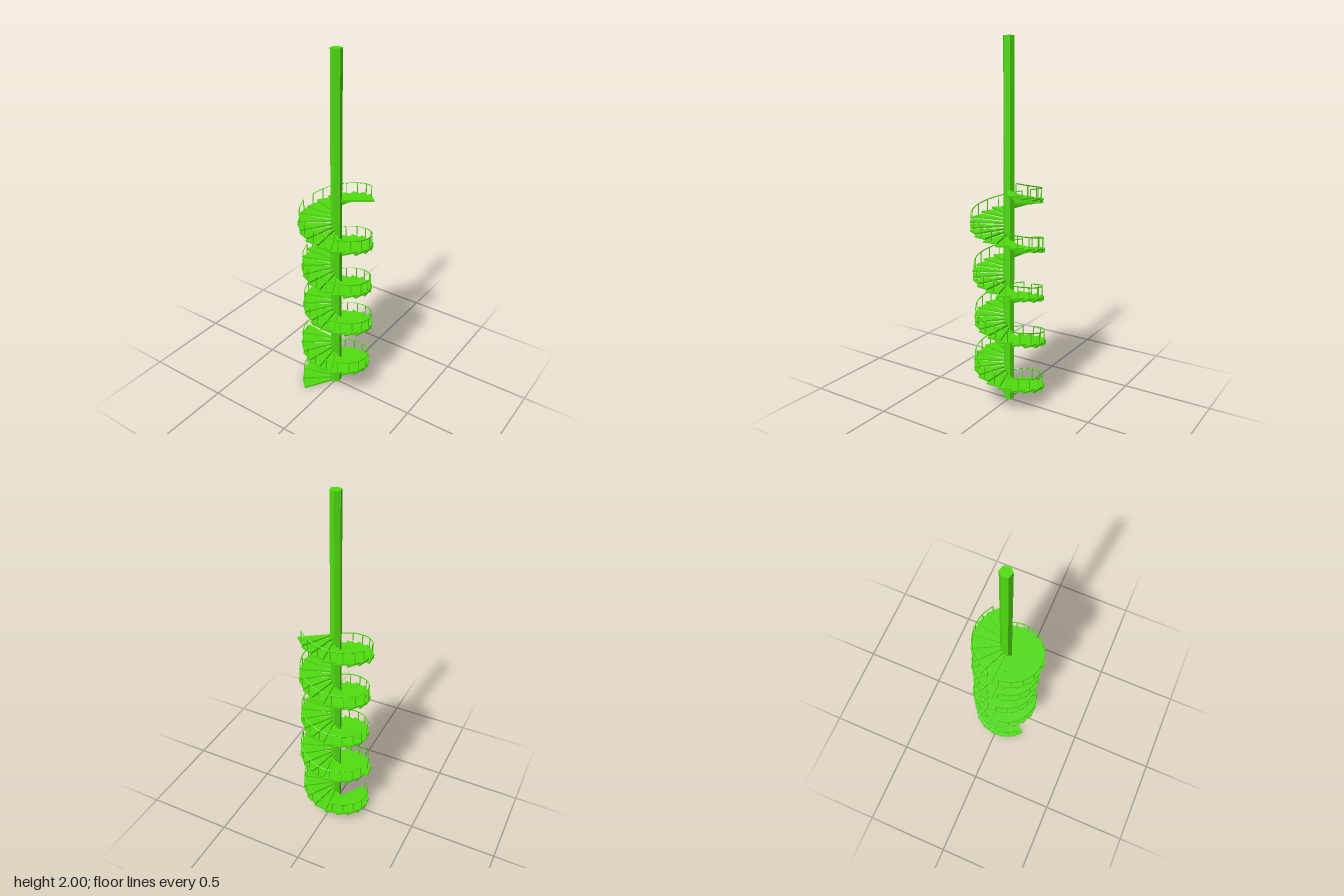
import * as THREE from 'three';

const DEG = Math.PI / 180;
const STEP = 20;            // degrees per tread
const START = 122;          // angle of the first tread, measured from +x towards +z
const PITCH = 0.272;        // rise per full turn
const RAIL_HEIGHT = 0.062;
const TREAD_THICKNESS = 0.01;

// Flights, stacked with slightly different centres: tread count, centre, radius, drop
const flights = [
  { count: 21, x: 0.0, z: 0.0, r: 0.2, drop: 0 },
  { count: 18, x: 0.008, z: -0.012, r: 0.2, drop: 0 },
  { count: 18, x: 0.008, z: 0.0, r: 0.196, drop: 0.018 },
  { count: 18, x: 0.006, z: 0.008, r: 0.203, drop: 0.018 },
  { count: 7, x: 0.012, z: 0.01, r: 0.197, drop: 0.018 },
];

const green = new THREE.MeshStandardMaterial({ color: 0x50dd10, flatShading: true });

function add(parent, name, geometry) {
  const mesh = new THREE.Mesh(geometry, green);
  mesh.name = name;
  parent.add(mesh);
  return mesh;
}

// Flat wedge with a straight outer edge, its top at y = 0
function treadGeometry(radius, sweep) {
  const shape = new THREE.Shape();
  const corner = (r, deg) => [r * Math.cos(deg * DEG), r * Math.sin(deg * DEG)];
  shape.moveTo(...corner(0.012, 0));
  shape.lineTo(...corner(radius, 0));
  shape.lineTo(...corner(radius, sweep));
  shape.lineTo(...corner(0.012, sweep));
  shape.closePath();
  const geometry = new THREE.ExtrudeGeometry(shape, { depth: TREAD_THICKNESS, bevelEnabled: false });
  return geometry.rotateX(Math.PI / 2);
}

export function createModel() {
  const model = new THREE.Group();
  model.name = 'spiralStaircase';

  // Six-sided centre pole
  const pole = add(model, 'centrePole', new THREE.CylinderGeometry(0.031, 0.031, 1.99, 6));
  pole.position.set(0.003, 1.005, 0);
  pole.rotation.y = 0.2;

  const heightAt = (angle) => ((angle - START) / 360) * PITCH + TREAD_THICKNESS;
  const postGeometry = new THREE.BoxGeometry(0.004, RAIL_HEIGHT, 0.004);
  let angle = START;

  flights.forEach((flight, f) => {
    const group = new THREE.Group();
    group.name = 'flight' + (f + 1);
    group.position.set(flight.x, -flight.drop, flight.z);
    model.add(group);

    const tread = treadGeometry(flight.r, STEP + 3);
    const railRadius = flight.r - 0.009;
    const railPoints = [];

    for (let i = 0; i < flight.count; i++, angle += STEP) {
      const y = heightAt(angle);
      const step = add(group, 'tread', tread);
      step.position.y = y;
      step.rotation.y = -angle * DEG;
      // The first flight ends on a longer tread
      if (f === 0 && i === flight.count - 1) step.scale.set(1.05, 1, 1.05);

      // One post near the middle of each tread
      const a = (angle + STEP / 2) * DEG;
      const px = railRadius * Math.cos(a), pz = railRadius * Math.sin(a);
      const post = add(group, 'railPost', postGeometry);
      post.position.set(px, y + RAIL_HEIGHT / 2, pz);
      post.rotation.y = -a;
      railPoints.push(new THREE.Vector3(px, y + RAIL_HEIGHT, pz));
    }

    // Thin handrail following the posts
    const curve = new THREE.CatmullRomCurve3(railPoints);
    add(group, 'handrail', new THREE.TubeGeometry(curve, flight.count * 3, 0.003, 4, false));
  });

  return model;
}
